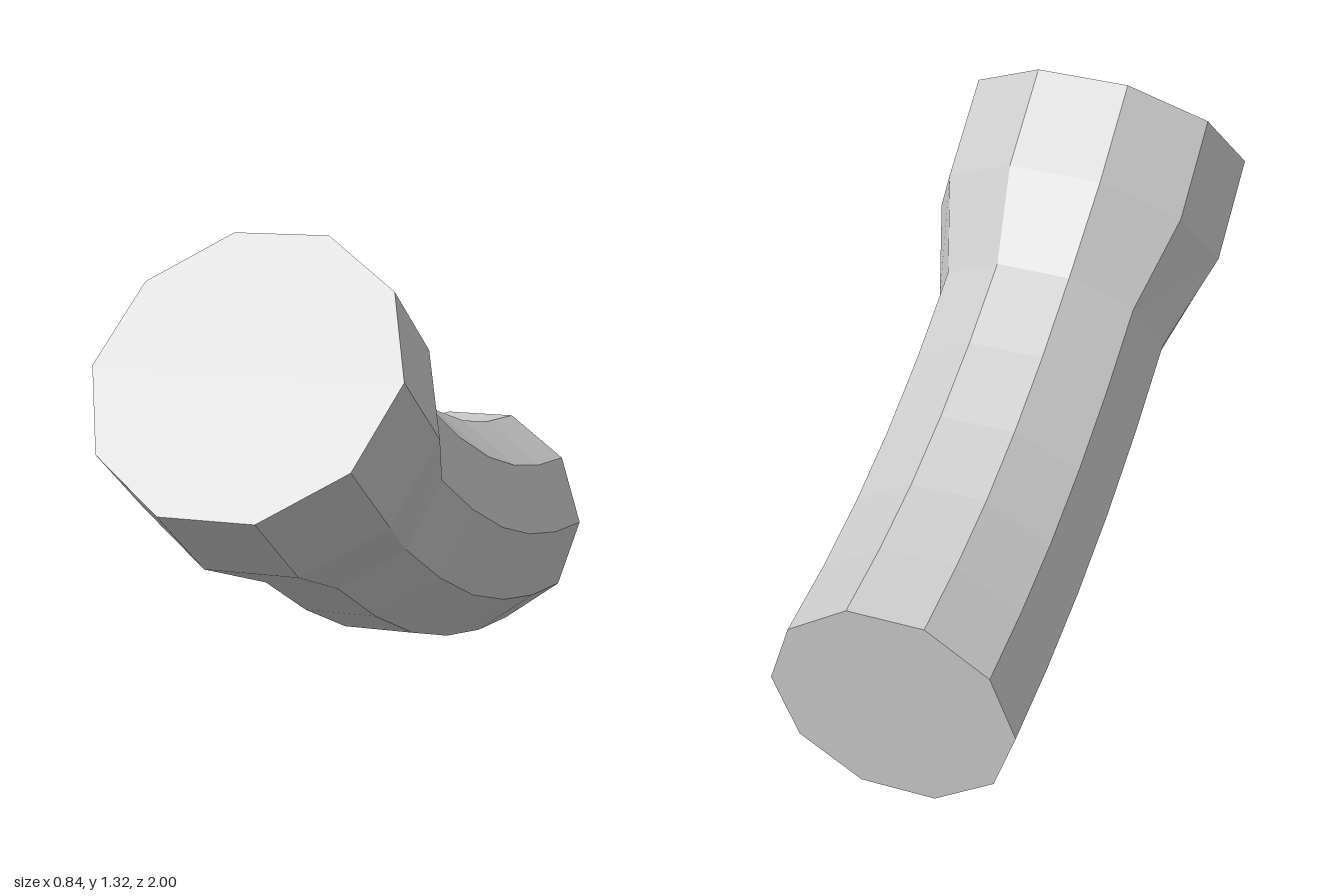
import * as THREE from 'three';

const SIDES = 10;

// Rings from front to back: top z, top y, bottom z, bottom y, radius
const RINGS = [
  [0.54, 1.32, 1.0, 0.67, 0.42],
  [0.3, 1.15, 0.74, 0.487, 0.42],
  [0.12, 0.945, 0.42, 0.388, 0.335],
  [-0.105, 0.835, 0.155, 0.255, 0.335],
  [-0.33, 0.75, -0.13, 0.143, 0.335],
  [-0.55, 0.69, -0.415, 0.068, 0.335],
  [-0.77, 0.655, -0.7, 0.02, 0.335],
  [-1.0, 0.64, -0.965, 0.0, 0.335],
];

// Decagon in the tilted plane of one ring, flat at top and bottom
function ringPoints([tz, ty, bz, by, radius]) {
  const centre = new THREE.Vector3(0, (ty + by) / 2, (tz + bz) / 2);
  const up = new THREE.Vector3(0, ty - by, tz - bz).multiplyScalar(0.5 / Math.sin(Math.PI * 0.4));
  return Array.from({ length: SIDES }, (_, j) => {
    const a = (j / SIDES) * Math.PI * 2;
    const p = centre.clone().addScaledVector(up, Math.sin(a));
    p.x = radius * Math.cos(a);
    return p;
  });
}

function meshFrom(points, material, name) {
  const geometry = new THREE.BufferGeometry().setFromPoints(points);
  geometry.computeVertexNormals();
  const mesh = new THREE.Mesh(geometry, material);
  mesh.name = name;
  return mesh;
}

// Side walls joining consecutive rings
function walls(rings) {
  const out = [];
  for (let i = 0; i < rings.length - 1; i++) {
    for (let j = 0; j < SIDES; j++) {
      const k = (j + 1) % SIDES;
      const a = rings[i][j], b = rings[i][k];
      const c = rings[i + 1][j], d = rings[i + 1][k];
      out.push(a, c, b, b, c, d);
    }
  }
  return out;
}

// Flat end closing a ring
function cap(ring) {
  const out = [];
  for (let j = 1; j < SIDES - 1; j++) out.push(ring[0], ring[j], ring[j + 1]);
  return out;
}

export function createModel() {
  const grey = new THREE.MeshStandardMaterial({ color: 0xcccccc, flatShading: true });
  grey.name = 'light grey';

  const rings = RINGS.map(ringPoints);
  const group = new THREE.Group();
  group.name = 'curvedPipe';
  group.add(
    meshFrom(walls(rings.slice(0, 3)), grey, 'flaredCollar'),
    meshFrom(walls(rings.slice(2)), grey, 'bentPipe'),
    meshFrom(cap(rings[0]), grey, 'frontCap'),
    meshFrom(cap([...rings[rings.length - 1]].reverse()), grey, 'backCap'),
  );
  return group;
}
